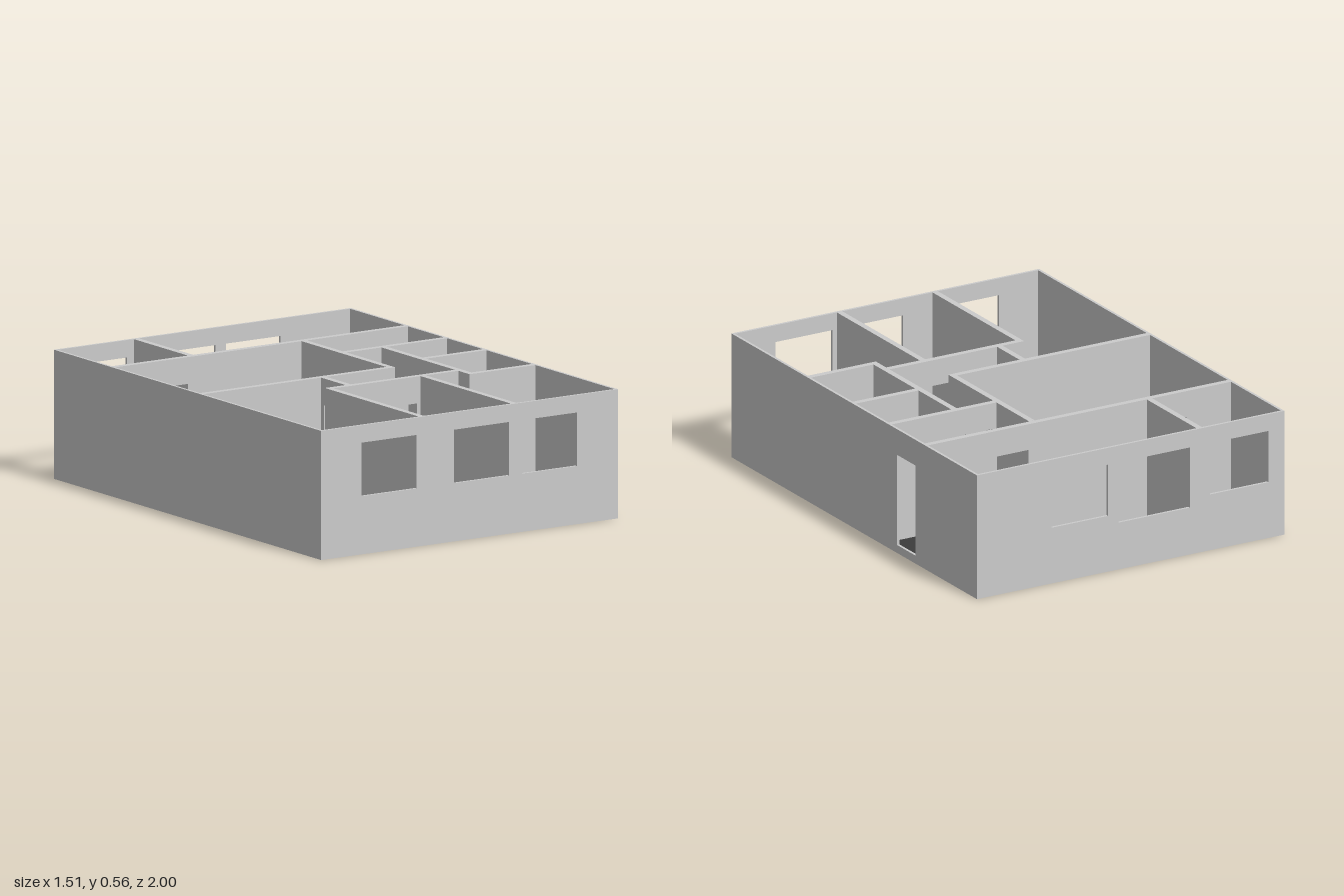
import * as THREE from 'three';

const TOP = 0.555, FLOOR = 0.03;
const OUTER = 0.012, INNER = 0.027;
const grey = new THREE.MeshStandardMaterial({ color: 0xcccccc, flatShading: true });
const dark = new THREE.MeshStandardMaterial({ color: 0x3c3c3c, flatShading: true });

// Openings: [from, to, bottom, top] measured along the wall
const door = (a, b) => [a, b, 0.036, 0.44];
const win = (a, b, sill = 0.25) => [a, b, sill, 0.48];

// Upright wall running along x or z, centred on `at` across its thickness
function wall(name, axis, at, from, to, thick, base, openings = []) {
  const shape = new THREE.Shape();
  shape.moveTo(from, base).lineTo(to, base).lineTo(to, TOP).lineTo(from, TOP).closePath();
  for (const [a, b, y0, y1] of openings) {
    const hole = new THREE.Path();
    hole.moveTo(a, y0).lineTo(a, y1).lineTo(b, y1).lineTo(b, y0).closePath();
    shape.holes.push(hole);
  }
  const geo = new THREE.ExtrudeGeometry(shape, { depth: thick, bevelEnabled: false });
  geo.translate(0, 0, -thick / 2);
  if (axis === 'z') geo.rotateY(-Math.PI / 2).translate(at, 0, 0);
  else geo.translate(0, 0, at);
  const mesh = new THREE.Mesh(geo, grey);
  mesh.name = name;
  return mesh;
}

export function createModel() {
  const model = new THREE.Group();
  model.name = 'housePlan';
  const W = 0.755, D = 1, h = OUTER / 2;
  const iw = W - OUTER, id = D - OUTER;

  // Floor slab with a dark floor covering
  const slab = new THREE.Mesh(new THREE.BoxGeometry(2 * iw, FLOOR - 0.004, 2 * id), grey);
  slab.position.y = (FLOOR - 0.004) / 2;
  slab.name = 'floorSlab';
  const cover = new THREE.Mesh(new THREE.BoxGeometry(2 * iw, 0.004, 2 * id), dark);
  cover.position.y = FLOOR - 0.002;
  cover.name = 'floorCovering';
  model.add(slab, cover);

  // Outer walls with windows and the entrance
  const outer = new THREE.Group();
  outer.name = 'outerWalls';
  outer.add(
    wall('frontWall', 'x', D - h, -W, W, OUTER, 0, [win(-0.55, -0.27), win(-0.08, 0.2), win(0.265, 0.545)]),
    wall('backWall', 'x', -D + h, -W, W, OUTER, 0, [win(-0.675, -0.39), win(-0.29, 0.06, 0.21), win(0.112, 0.39)]),
    wall('leftWall', 'z', W - h, -id, id, OUTER, 0, [door(-0.5, -0.35)]),
    wall('rightWall', 'z', -W + h, -id, id, OUTER, 0),
  );
  model.add(outer);

  // Partitions: name, axis, centre line, from, to, doorways
  const partitions = [
    ['backRoomsWall', 'x', -0.57, -iw, iw, [door(-0.525, -0.375), door(0.25, 0.405)]],
    ['backDivider', 'z', -0.343, -id, -0.583, []],
    ['loungeSideWall', 'z', 0.217, -0.556, 0.103, [door(-0.2, -0.05)]],
    ['loungeFrontWall', 'x', 0.09, -iw, 0.204, []],
    ['entryWall', 'x', -0.275, 0.23, iw, [door(0.25, 0.39)]],
    ['corridorWall', 'z', 0.423, -0.262, 0.397, [door(-0.2, -0.06), door(0.1, 0.24)]],
    ['bathDivider', 'x', 0.018, 0.436, iw, []],
    ['bathFrontWall', 'x', 0.384, 0.436, iw, []],
    ['bedroomBackWall', 'x', 0.299, -0.251, 0.41, [door(0.06, 0.2), door(0.265, 0.403)]],
    ['corridorEndWall', 'z', -0.132, 0.103, 0.286, [door(0.125, 0.265)]],
    ['bedroomDividerRight', 'z', -0.238, 0.312, id, []],
    ['bedroomDividerLeft', 'z', 0.231, 0.312, id, []],
  ];
  const inner = new THREE.Group();
  inner.name = 'partitionWalls';
  for (const [name, axis, at, from, to, openings] of partitions)
    inner.add(wall(name, axis, at, from, to, INNER, 0.01, openings));
  model.add(inner);

  return model;
}
